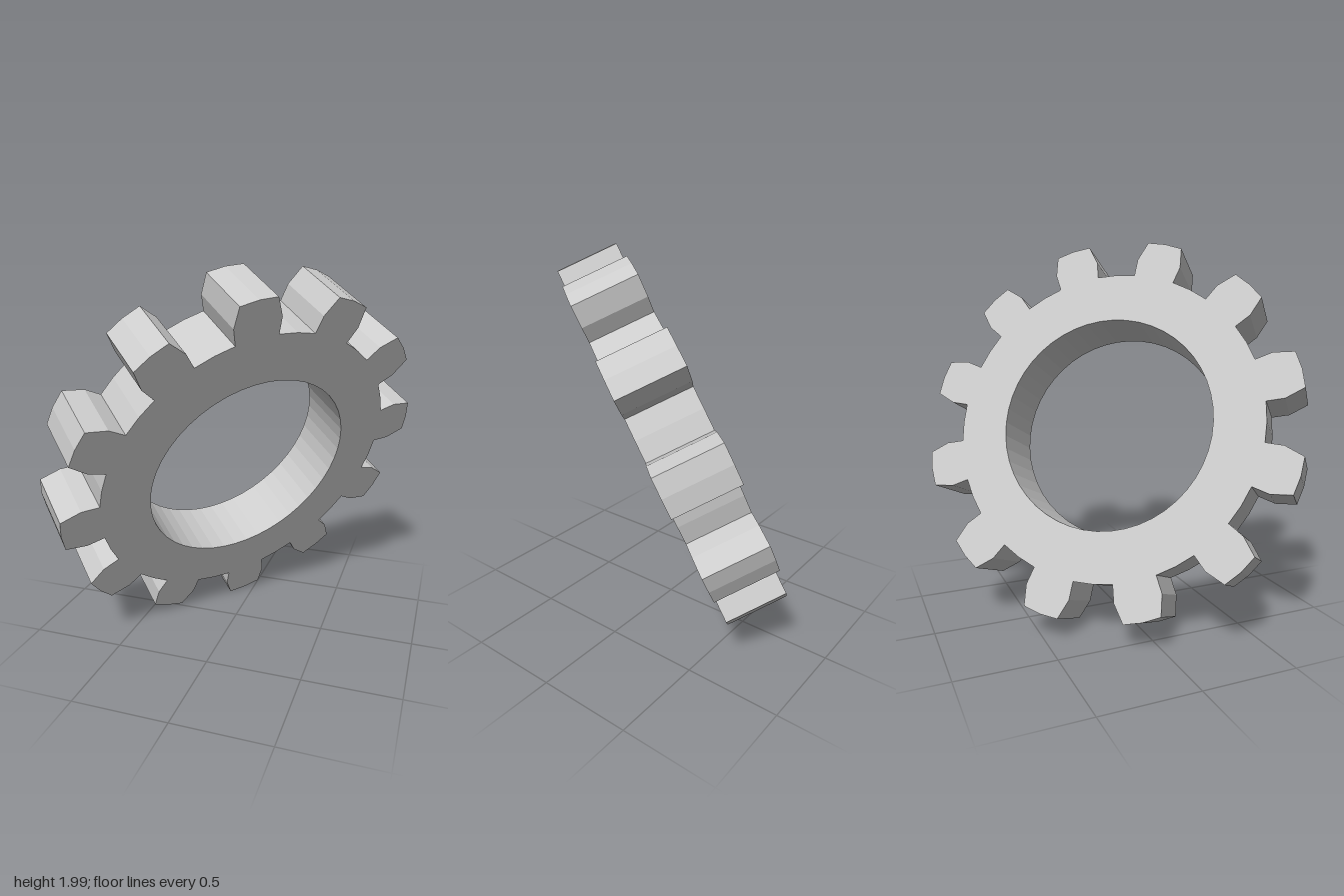
import * as THREE from 'three';

const TEETH = 12;
const THICKNESS = 0.325;
const BORE = 0.567;
const ROOT = 0.828;
const PHASE = 11.6; // degrees, centre of the first tooth

const polar = (r, deg) => {
  const a = THREE.MathUtils.degToRad(deg);
  return new THREE.Vector2(r * Math.cos(a), r * Math.sin(a));
};

// One tooth pitch: [radius, angle from the tooth centre], flank - tip - flank - root
const TOOTH = [
  [ROOT, -7.8], [0.92, -7.7], [1.022, -5.4], [1.026, 0],
  [1.022, 5.4], [0.92, 7.7], [ROOT, 7.8], [ROOT, 15],
];

function gearShape() {
  const outline = [];
  for (let i = 0; i < TEETH; i++) {
    const centre = PHASE + (i * 360) / TEETH;
    for (const [r, a] of TOOTH) outline.push(polar(r, centre + a));
  }
  const shape = new THREE.Shape(outline);

  // Round bore, four facets per tooth
  const bore = [];
  const n = TEETH * 4;
  for (let i = 0; i < n; i++) bore.push(polar(BORE, PHASE - (i * 360) / n));
  shape.holes.push(new THREE.Path(bore));
  return shape;
}

export function createModel() {
  const group = new THREE.Group();
  group.name = 'gear';

  const geometry = new THREE.ExtrudeGeometry(gearShape(), {
    depth: THICKNESS, bevelEnabled: false, steps: 1,
  });
  geometry.translate(0, 0, -THICKNESS / 2);

  const gear = new THREE.Mesh(
    geometry,
    new THREE.MeshStandardMaterial({ color: 0xcccccc, flatShading: true }),
  );
  gear.name = 'toothedRing';

  // Tilt the ring so that its axis points forward, left and down
  const axis = new THREE.Vector3(0.686, -0.399, 0.608).normalize();
  const side = new THREE.Vector3(0, 1, 0).cross(axis).normalize();
  const up = axis.clone().cross(side);
  gear.quaternion.setFromRotationMatrix(new THREE.Matrix4().makeBasis(side, up, axis));
  gear.position.y = 1;

  group.add(gear);
  return group;
}
